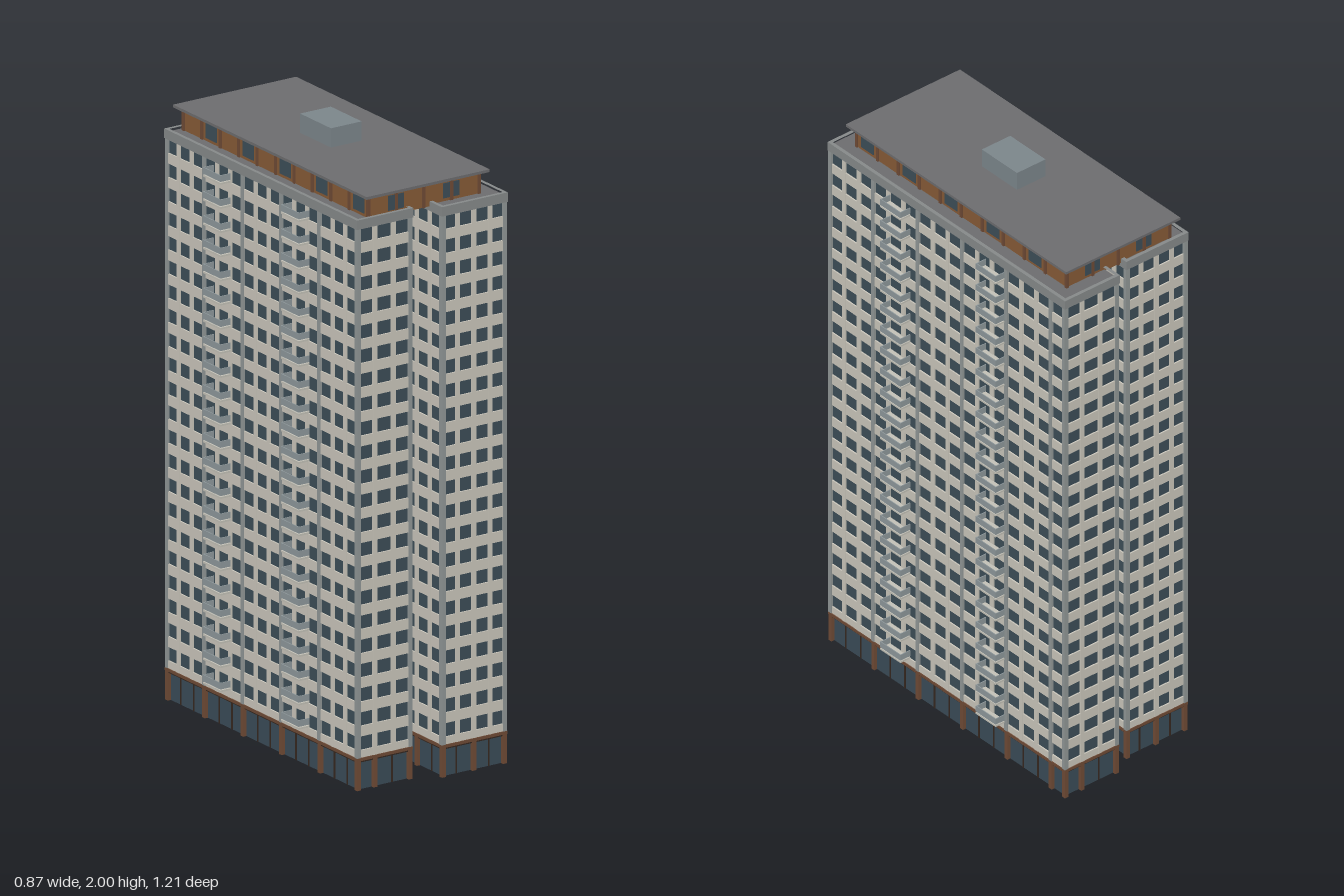
import * as THREE from 'three';
import { mergeGeometries } from 'three/addons/utils/BufferGeometryUtils.js';

// Floor plan as [x, z] in the tower's own axes: two slabs split by a slot at each end
const PLAN = [
  [-0.277, -0.505], [-0.03, -0.505], [-0.03, -0.31], [0.035, -0.31],
  [0.035, -0.546], [0.253, -0.546], [0.253, 0.585], [0.01, 0.585],
  [0.01, 0.37], [-0.07, 0.37], [-0.07, 0.54], [-0.277, 0.54],
];
const FLOORS = 22, PITCH = 0.079, FIRST = 0.153, WIN_H = 0.045;

const mat = (color) => new THREE.MeshStandardMaterial({ color });
const M = {
  wall: mat(0xc9c5ba), glass: mat(0x3c4d57), pier: mat(0x8f9695), trim: mat(0x858989),
  roof: mat(0x6c6c6e), wood: mat(0x855a36), bronze: mat(0x6e4a35), dark: mat(0x35271f),
  lobby: mat(0x3a4b57), slab: mat(0xc2c0b6), rail: mat(0x8d979a), plant: mat(0x7b858a),
};

// Edge i of the plan with its direction, length and inward normal
function edge(i) {
  const a = PLAN[(i + PLAN.length) % PLAN.length], b = PLAN[(i + 1) % PLAN.length];
  const dx = b[0] - a[0], dz = b[1] - a[1], len = Math.hypot(dx, dz);
  return { a, len, d: [dx / len, dz / len], n: [-dz / len, dx / len] };
}

// Plan outline moved inward by t, as points in the (x, -z) shape plane
function outline(t) {
  return PLAN.map((p, i) => {
    const n = edge(i - 1).n, m = edge(i).n;
    return new THREE.Vector2(p[0] + (n[0] + m[0]) * t, -(p[1] + (n[1] + m[1]) * t));
  });
}

// Horizontal layer of the plan between two heights, optionally hollow
function layer(t, y0, y1, hollow = 0) {
  const s = new THREE.Shape(outline(t));
  if (hollow) s.holes.push(new THREE.Path(outline(t + hollow)));
  const g = new THREE.ExtrudeGeometry(s, { depth: y1 - y0, bevelEnabled: false });
  return g.rotateX(-Math.PI / 2).translate(0, y0, 0);
}

// Box given by its extents
function box(x0, x1, y0, y1, z0, z1) {
  return new THREE.BoxGeometry(x1 - x0, y1 - y0, z1 - z0)
    .translate((x0 + x1) / 2, (y0 + y1) / 2, (z0 + z1) / 2);
}

// Square post centred at x, z
const post = (x, z, w, y0, y1) => box(x - w / 2, x + w / 2, y0, y1, z - w / 2, z + w / 2);

export function createModel() {
  const root = new THREE.Group();
  root.name = 'apartmentTower';
  const tower = new THREE.Group();
  tower.name = 'tower';
  tower.rotation.y = THREE.MathUtils.degToRad(19.3);
  root.add(tower);

  const add = (name, material, geos) => {
    const mesh = new THREE.Mesh(mergeGeometries(geos.map((g) => (g.index ? g.toNonIndexed() : g))), material);
    mesh.name = name;
    tower.add(mesh);
  };

  // Ground floor: hollow glazed lobby under a dark ceiling
  add('lobbyGlazing', M.lobby, [layer(0.012, 0, 0.092, 0.004)]);
  add('lobbyCeiling', M.dark, [layer(0.004, 0.09, 0.096)]);
  add('lobbyFascia', M.bronze, [layer(-0.001, 0.096, 0.106)]);

  // Window glass behind the facade
  add('windowGlass', M.glass, [layer(0.007, 0.106, 1.845)]);

  // Spandrel band below every window row
  const bands = [];
  for (let i = 0; i < FLOORS; i++) {
    const top = FIRST + i * PITCH - WIN_H / 2;
    bands.push(layer(0.002, i ? top - PITCH + WIN_H : 0.106, top));
  }
  add('spandrelBands', M.wall, bands);

  // Piers between windows, full-height columns and lobby posts along every edge
  const piers = [], columns = [], lobbyPosts = [], mullions = [];
  PLAN.forEach((_, i) => {
    const { a, len, d, n } = edge(i);
    const count = Math.max(1, Math.round(len / 0.069));
    const at = (s, t) => [a[0] + d[0] * s + n[0] * t, a[1] + d[1] * s + n[1] * t];
    for (let k = 0; k <= count; k++) {
      const s = THREE.MathUtils.clamp((k * len) / count, 0.007, len - 0.007);
      const end = k === 0 || k === count;
      // Long sides carry a column at every third pier
      const main = end || (len > 1 && (i === 5 ? k : count - k) % 3 === (i === 5 ? count % 3 : 0));
      if (main) columns.push(post(...at(s, 0.006), 0.014, 0.106, 1.845));
      else piers.push(post(...at(s, 0.009), 0.016, 0.106, 1.84));
      if (main || (len < 0.3 && k === 2)) lobbyPosts.push(post(...at(s, 0.007), 0.014, 0, 0.098));
      else mullions.push(post(...at(s, 0.012), 0.005, 0, 0.092));
    }
  });
  add('windowPiers', M.wall, piers);
  add('facadeColumns', M.pier, columns);
  add('lobbyPosts', M.bronze, lobbyPosts);
  add('lobbyMullions', M.dark, mullions);

  // Stacked balconies: slab with three thin railing panels
  const slabs = [], rails = [];
  const stacks = [[1, 0.25, 0.29, -0.258, -0.163], [1, 0.25, 0.29, 0.197, 0.294],
    [-1, 0.274, 0.314, -0.246, -0.15], [-1, 0.274, 0.314, 0.178, 0.275]];
  for (const [side, inner, outer, z0, z1] of stacks) {
    const span = (p, q, ...rest) => box(Math.min(side * p, side * q), Math.max(side * p, side * q), ...rest);
    for (let i = 0; i < FLOORS; i++) {
      const y = FIRST + i * PITCH - WIN_H / 2 + 0.002, top = y + 0.03;
      slabs.push(span(inner, outer, y, y + 0.006, z0, z1));
      rails.push(span(outer - 0.003, outer, y + 0.009, top, z0, z1));
      rails.push(span(inner, outer - 0.003, y + 0.009, top, z0, z0 + 0.003));
      rails.push(span(inner, outer - 0.003, y + 0.009, top, z1 - 0.003, z1));
    }
  }
  add('balconySlabs', M.slab, slabs);
  add('balconyRails', M.rail, rails);

  // Main roof deck and parapet
  add('roofDeck', M.roof, [layer(0.004, 1.843, 1.856)]);
  add('parapet', M.trim, [layer(-0.002, 1.835, 1.866, 0.012)]);

  // Set-back top storey: timber walls, window panels and edge posts
  const X0 = -0.222, X1 = 0.192, Z0 = -0.482, Z1 = 0.52, Y0 = 1.85, Y1 = 1.929;
  add('penthouseWalls', M.wood, [box(X0, X1, Y0, Y1, Z0, Z1)]);
  const panes = [], fins = [];
  for (let k = 0; k < 10; k++) {
    const z = Z0 + ((k + 0.5) * (Z1 - Z0)) / 10;
    if (k % 2) panes.push(box(X0 - 0.002, X1 + 0.002, 1.866, 1.915, z - 0.03, z + 0.03));
    for (const x of [X0, X1]) fins.push(post(x, z - 0.05, 0.01, Y0, Y1));
  }
  for (let k = 0; k <= 4; k++) {
    const x = X0 + (k * (X1 - X0)) / 4;
    if (k % 2) panes.push(box(x - 0.03, x + 0.03, 1.866, 1.915, Z0 - 0.002, Z1 + 0.002));
    for (const z of [Z0, Z1]) fins.push(post(x, z, 0.01, Y0, Y1));
  }
  add('penthouseWindows', M.glass, panes);
  add('penthousePosts', M.bronze, fins);
  add('penthouseRoof', M.roof, [box(-0.245, 0.216, 1.928, 1.937, -0.508, 0.545)]);

  // Plant room on top
  add('plantRoom', M.plant, [box(-0.072, 0.043, 1.936, 2, -0.068, 0.1)]);
  return root;
}
